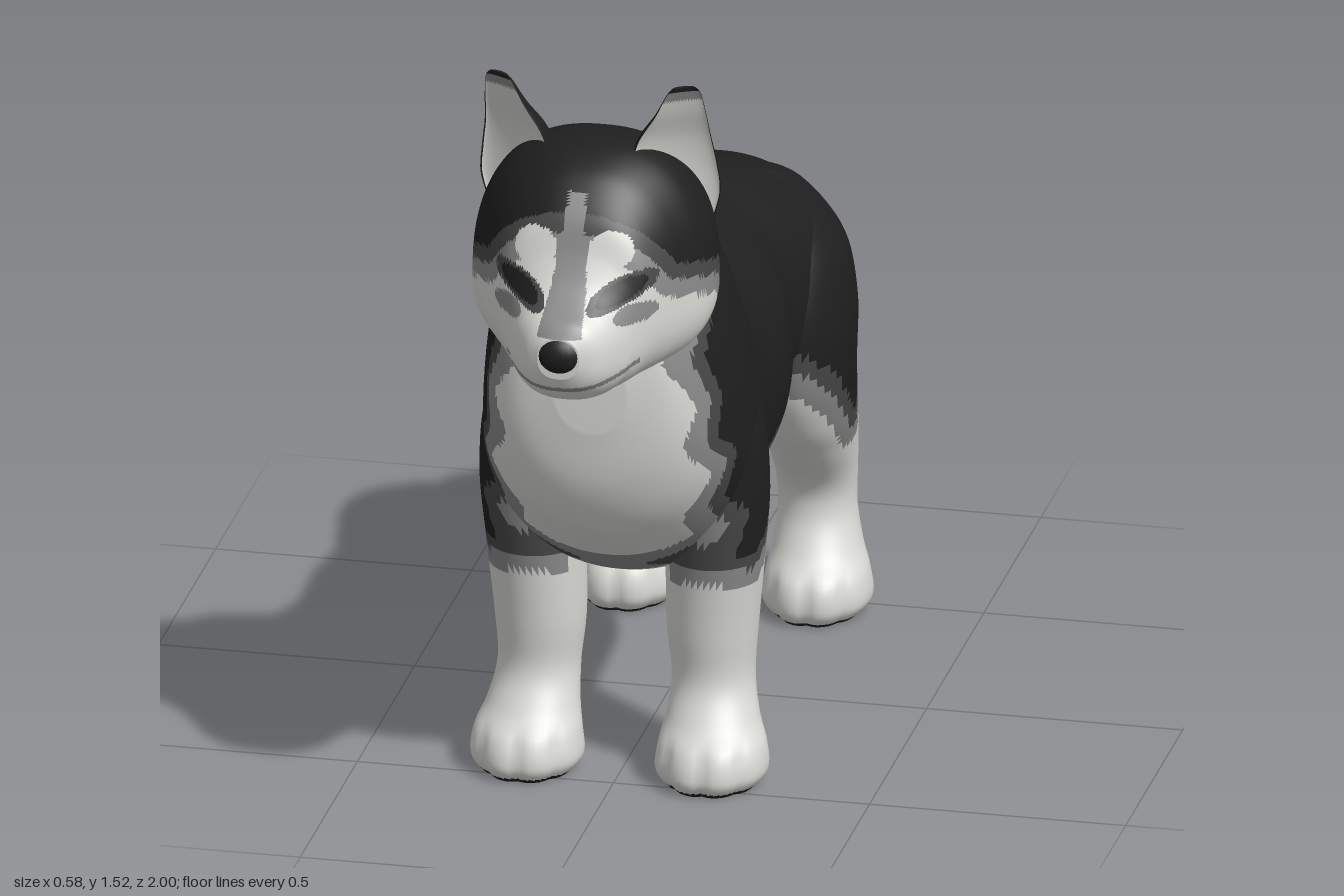
import * as THREE from 'three';

const mat = (name, color) => {
  const m = new THREE.MeshStandardMaterial({ color });
  m.name = name;
  return m;
};
const BLACK = 0, DARK = 1, MID = 2, LIGHT = 3;
const materials = [
  mat('black fur', 0x1f1f1f), mat('dark grey fur', 0x484848),
  mat('mid grey fur', 0x8a8a8a), mat('white fur', 0xd9d9d5),
];

// Catmull-Rom blend through rows of numbers, t in 0..1
function sampleRows(rows, t) {
  const f = t * (rows.length - 1), i = Math.min(Math.floor(f), rows.length - 2), u = f - i;
  const row = (k) => rows[Math.max(0, Math.min(rows.length - 1, k))];
  const [a, b, c, d] = [row(i - 1), row(i), row(i + 1), row(i + 2)];
  return b.map((_, k) => b[k] + 0.5 * u * (c[k] - a[k]
    + u * (2 * a[k] - 5 * b[k] + 4 * c[k] - d[k] + u * (3 * (b[k] - c[k]) + d[k] - a[k]))));
}

// Closed skin over rings; each face goes to the colour that paint() gives its centre
function loft(name, rows, ring, paint, steps, sides) {
  const pos = [], tris = [];
  for (let i = 0; i <= steps; i++) {
    const r = sampleRows(rows, i / steps);
    for (let j = 0; j < sides; j++) pos.push(ring(r, (j / sides) * Math.PI * 2, i / steps));
  }
  const pole = (start) => {
    const c = [0, 0, 0];
    for (let j = 0; j < sides; j++) pos[start + j].forEach((v, k) => { c[k] += v / sides; });
    return pos.push(c) - 1;
  };
  const last = steps * sides, p0 = pole(0), p1 = pole(last);
  for (let j = 0; j < sides; j++) {
    const k = (j + 1) % sides, a = ((j + 0.5) / sides) * Math.PI * 2;
    tris.push([p0, k, j, a], [p1, last + j, last + k, a]);
    for (let i = 0; i < steps; i++) {
      const o = i * sides, n = o + sides;
      tris.push([o + j, o + k, n + j, a], [o + k, n + k, n + j, a]);
    }
  }
  // turn the skin outwards
  let volume = 0;
  for (const [a, b, c] of tris) {
    const [A, B, C] = [pos[a], pos[b], pos[c]];
    volume += A[0] * (B[1] * C[2] - B[2] * C[1]) + A[1] * (B[2] * C[0] - B[0] * C[2]) + A[2] * (B[0] * C[1] - B[1] * C[0]);
  }
  const buckets = materials.map(() => []);
  for (const [a, b, c, angle] of tris) {
    const m = [0, 1, 2].map((k) => (pos[a][k] + pos[b][k] + pos[c][k]) / 3);
    buckets[paint(...m, angle)].push(...(volume > 0 ? [a, b, c] : [a, c, b]));
  }
  const g = new THREE.BufferGeometry();
  g.setAttribute('position', new THREE.Float32BufferAttribute(pos.flat(), 3));
  g.setIndex(buckets.flat());
  let start = 0;
  buckets.forEach((b, k) => { if (b.length) g.addGroup(start, b.length, k); start += b.length; });
  g.computeVertexNormals();
  const mesh = new THREE.Mesh(g, materials);
  mesh.name = name;
  return mesh;
}

// Outline of the black saddle, cap and tail top, as z, y
const saddle = [
  [0.9, 1.6], [0.83, 1.29], [0.8, 1.24], [0.77, 1.19], [0.69, 1.17], [0.635, 1.16], [0.58, 1.1], [0.57, 1.02],
  [0.62, 0.94], [0.58, 0.85], [0.6, 0.78], [0.53, 0.72], [0.54, 0.63], [0.47, 0.57], [0.48, 0.48], [0.44, 0.47],
  [0.37, 0.535], [0.29, 0.56], [0.17, 0.555], [0.05, 0.575], [-0.08, 0.61], [-0.16, 0.64], [-0.27, 0.55],
  [-0.4, 0.43], [-0.42, 0.5], [-0.44, 0.65], [-0.47, 0.78], [-0.51, 0.82], [-0.55, 0.76], [-0.6, 0.66],
  [-0.65, 0.56], [-0.71, 0.505], [-0.77, 0.495], [-0.82, 0.53], [-0.83, 0.6], [-0.7, 1], [-0.3, 1.2], [0.4, 1.6],
];
function coat(x, y, z) {
  // belly and inner legs stay light
  if (y < 0.72 && z > -0.48 && z < 0.45) y -= 2 * Math.max(0, 0.16 - Math.abs(x));
  let inside = false, d = 9;
  saddle.forEach(([az, ay], i) => {
    const [bz, by] = saddle[(i + 1) % saddle.length], ez = bz - az, ey = by - ay;
    if ((ay > y) !== (by > y) && z < az + (ez * (y - ay)) / ey) inside = !inside;
    const t = THREE.MathUtils.clamp(((z - az) * ez + (y - ay) * ey) / (ez * ez + ey * ey), 0, 1);
    d = Math.min(d, Math.hypot(z - az - t * ez, y - ay - t * ey));
  });
  return inside ? BLACK : d < 0.03 ? DARK : d < 0.065 ? MID : LIGHT;
}

// Face markings over the coat
function facePaint(x, y, z) {
  const ax = Math.abs(x);
  if (z > 0.74) {
    const ex = ax - 0.1, ey = y - 1.165 - 0.35 * ex;
    const eye = Math.hypot(ex / 0.044, ey / 0.021);
    if (eye < 1) return BLACK;
    if (Math.hypot((ax - 0.073) / 0.043, (y - 1.237) / 0.037) < 1) return LIGHT;
    if (eye < 1.35) return DARK;
    if (y > 1.1 && y < 1.335 && ax < 0.018 + 0.13 * Math.max(0, 1.3 - y)) return MID;
    if (z > 0.8 && ax < 0.13 && Math.abs(y - 0.992 - 1.6 * x * x) < 0.005) return MID;
    if (Math.hypot((ax - 0.125) / 0.035, (y - 1.12) / 0.02) < 1) return MID;
  }
  return coat(x, y, z);
}

// Upright slice: z, bottom, top, half width, height of the widest point
const power = (v, e) => Math.sign(v) * Math.abs(v) ** (2 / e);
const slice = (e) => ([z, bottom, top, w, wide], a) => {
  const s = power(Math.sin(a), e);
  return [w * power(Math.cos(a), e), wide + s * (s > 0 ? top - wide : wide - bottom), z];
};

const torsoRows = [
  [0.705, 0.8, 0.95, 0.07, 0.88], [0.685, 0.68, 1.06, 0.15, 0.86], [0.64, 0.585, 1.19, 0.205, 0.8],
  [0.57, 0.51, 1.3, 0.235, 0.75], [0.5, 0.45, 1.32, 0.255, 0.72], [0.437, 0.415, 1.27, 0.265, 0.7],
  [0.37, 0.395, 1.17, 0.262, 0.69], [0.31, 0.388, 1.07, 0.252, 0.68], [0.17, 0.383, 1.003, 0.236, 0.68],
  [0, 0.395, 0.99, 0.238, 0.7], [-0.1, 0.425, 0.99, 0.212, 0.72], [-0.2, 0.47, 0.99, 0.23, 0.73],
  [-0.3, 0.53, 0.975, 0.245, 0.75], [-0.4, 0.57, 0.945, 0.23, 0.76], [-0.48, 0.61, 0.91, 0.175, 0.76],
  [-0.525, 0.68, 0.85, 0.09, 0.76],
];
const headRows = [
  [0.985, 1.02, 1.1, 0.04, 1.06], [0.965, 0.985, 1.125, 0.07, 1.05], [0.93, 0.958, 1.145, 0.095, 1.05],
  [0.895, 0.947, 1.175, 0.113, 1.05], [0.865, 0.943, 1.225, 0.128, 1.07], [0.84, 0.94, 1.29, 0.148, 1.09],
  [0.8, 0.94, 1.342, 0.172, 1.1], [0.76, 0.94, 1.372, 0.198, 1.1], [0.7, 0.942, 1.395, 0.23, 1.1],
  [0.64, 0.955, 1.4, 0.237, 1.11], [0.58, 0.985, 1.385, 0.222, 1.13], [0.52, 1.04, 1.345, 0.18, 1.15],
  [0.47, 1.1, 1.28, 0.1, 1.18],
];

// Level ring: height, centre x, centre z, radius x, radius z
const frontLegRows = [
  [0, 0.18, 0.445, 0.085, 0.095], [0.03, 0.18, 0.445, 0.108, 0.113], [0.08, 0.18, 0.44, 0.104, 0.106],
  [0.13, 0.175, 0.412, 0.089, 0.09], [0.2, 0.17, 0.383, 0.08, 0.083], [0.3, 0.168, 0.382, 0.088, 0.093],
  [0.45, 0.175, 0.39, 0.095, 0.107], [0.6, 0.18, 0.4, 0.1, 0.125], [0.75, 0.17, 0.41, 0.095, 0.13],
  [0.88, 0.14, 0.42, 0.07, 0.1], [0.95, 0.12, 0.42, 0.02, 0.03],
];
const hindLegRows = [
  [0, 0.185, -0.455, 0.08, 0.1], [0.03, 0.185, -0.458, 0.105, 0.122], [0.08, 0.185, -0.46, 0.1, 0.116],
  [0.13, 0.18, -0.485, 0.086, 0.095], [0.2, 0.175, -0.503, 0.076, 0.08], [0.27, 0.175, -0.495, 0.078, 0.087],
  [0.36, 0.178, -0.447, 0.085, 0.13], [0.44, 0.18, -0.39, 0.092, 0.155], [0.55, 0.18, -0.345, 0.1, 0.175],
  [0.68, 0.175, -0.335, 0.108, 0.185], [0.8, 0.16, -0.335, 0.1, 0.16], [0.9, 0.12, -0.33, 0.07, 0.11],
  [0.95, 0.1, -0.33, 0.02, 0.03],
];
const legRing = (side) => ([y, cx, cz, rx, rz], a) => {
  // shallow grooves between the toes
  const front = Math.max(0, Math.sin(a)), low = THREE.MathUtils.smoothstep(0.12 - y, 0, 0.05);
  const toe = 1 - 0.09 * low * front * Math.abs(Math.cos(a * 4)) ** 6;
  return [side * (cx + rx * toe * Math.cos(a)), y, cz + rz * toe * Math.sin(a)];
};
const legPaint = (x, y, z) => (y < 0.008 ? BLACK : coat(x, y, z));

// Ear: back half round, front half hollow, turned outwards
const earRows = [
  [1.22, 0.17, 0.635, 0.055, 0.05], [1.28, 0.165, 0.65, 0.079, 0.075], [1.34, 0.157, 0.66, 0.083, 0.075],
  [1.4, 0.157, 0.67, 0.073, 0.06], [1.46, 0.172, 0.683, 0.05, 0.035], [1.505, 0.18, 0.692, 0.034, 0.018],
  [1.52, 0.181, 0.695, 0.022, 0.01],
];
const earRing = (side) => ([y, cx, cz, rx, rz], a) => {
  const lx = rx * Math.cos(a), s = Math.sin(a), lz = rz * (s > 0 ? -0.3 * s : s);
  const c = Math.cos(0.5), n = Math.sin(0.5);
  return [side * (cx + lx * c + lz * n), y, cz - lx * n + lz * c];
};
const earPaint = (x, y, z, a) => (Math.sin(a) < 0.12 || y > 1.508 ? BLACK : y > 1.49 ? MID : LIGHT);

// Tail: centre z, centre y, radius, direction angle in the side plane
const tailRows = [
  [-0.36, 0.86, 0.06], [-0.45, 0.835, 0.085], [-0.53, 0.77, 0.094], [-0.595, 0.675, 0.096], [-0.655, 0.575, 0.095],
  [-0.735, 0.485, 0.092], [-0.825, 0.45, 0.09], [-0.905, 0.46, 0.083], [-0.96, 0.468, 0.062], [-0.99, 0.475, 0.035],
  [-1, 0.478, 0.01],
];
const tailRing = ([z, y, r], a, t) => {
  const p = sampleRows(tailRows, Math.max(0, t - 0.01)), q = sampleRows(tailRows, Math.min(1, t + 0.01));
  const dz = q[0] - p[0], dy = q[1] - p[1], l = Math.hypot(dz, dy), s = r * Math.sin(a);
  return [r * Math.cos(a), y + (s * -dz) / l, z + (s * dy) / l];
};

export function createModel() {
  const dog = new THREE.Group();
  dog.name = 'dog';
  dog.add(
    loft('torso', torsoRows, slice(2.1), coat, 130, 104),
    loft('head', headRows, slice(2.4), facePaint, 130, 140),
    loft('tail', tailRows, tailRing, coat, 70, 40),
  );
  for (const [side, label] of [[1, 'left'], [-1, 'right']]) {
    dog.add(
      loft(label + 'FrontLeg', frontLegRows, legRing(side), legPaint, 70, 48),
      loft(label + 'HindLeg', hindLegRows, legRing(side), legPaint, 76, 48),
      loft(label + 'Ear', earRows, earRing(side), earPaint, 36, 40),
    );
  }
  const nose = new THREE.Mesh(new THREE.SphereGeometry(1, 24, 16), materials[BLACK]);
  nose.name = 'nose';
  nose.scale.set(0.05, 0.044, 0.042);
  nose.position.set(0, 1.065, 0.958);
  dog.add(nose);
  return dog;
}
